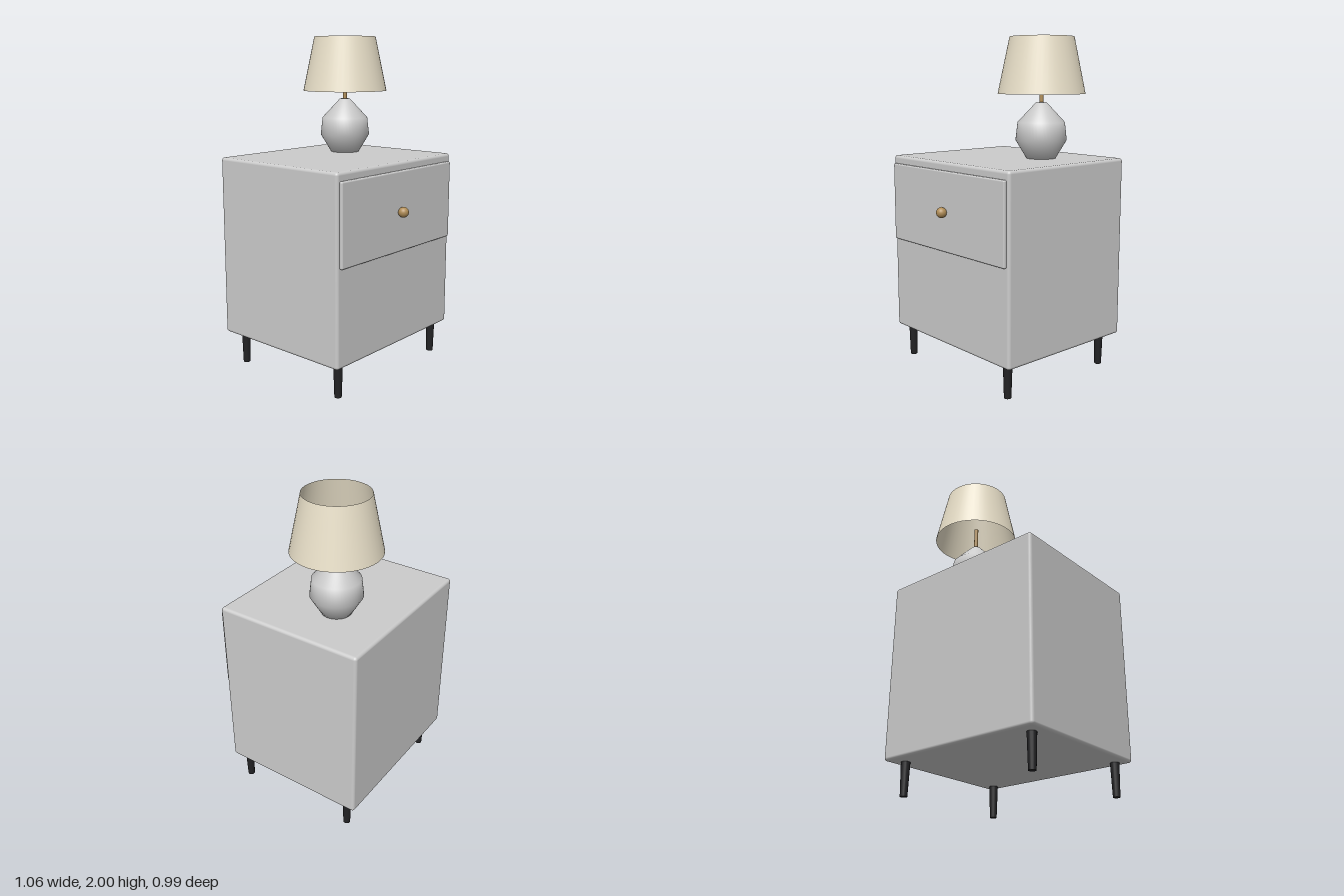
import * as THREE from 'three';
import { RoundedBoxGeometry } from 'three/addons/geometries/RoundedBoxGeometry.js';

export function createModel() {
  const model = new THREE.Group();
  model.name = 'nightstandWithLamp';

  const grey = new THREE.MeshStandardMaterial({ color: 0xcccccc });
  const black = new THREE.MeshStandardMaterial({ color: 0x222224 });
  const brass = new THREE.MeshStandardMaterial({ color: 0xb08d57 });
  const linen = new THREE.MeshStandardMaterial({ color: 0xe8dfc8, side: THREE.DoubleSide });

  const add = (parent, name, geometry, material, x, y, z) => {
    const mesh = new THREE.Mesh(geometry, material);
    mesh.name = name;
    mesh.position.set(x, y, z);
    parent.add(mesh);
    return mesh;
  };

  // Cabinet with softened edges
  add(model, 'cabinet', new RoundedBoxGeometry(1.062, 1.093, 0.923, 4, 0.018), grey, 0, 0.742, -0.0355);

  // Drawer front and its knob
  add(model, 'drawerFront', new RoundedBoxGeometry(1.022, 0.474, 0.036, 3, 0.009), grey, 0, 1.003, 0.426);
  add(model, 'drawerKnob', new THREE.SphereGeometry(0.031, 24, 16), brass, 0, 1.003, 0.465);

  // Four tapered legs
  const legGeometry = new THREE.CylinderGeometry(0.027, 0.021, 0.2, 16);
  for (const x of [-0.452, 0.452]) {
    for (const z of [0.362, -0.4]) add(model, 'leg', legGeometry, black, x, 0.1, z);
  }

  // Table lamp standing on the cabinet
  const lamp = new THREE.Group();
  lamp.name = 'lamp';
  lamp.position.set(0.19, 0, -0.143);
  model.add(lamp);

  const baseProfile = [
    [0, 1.288], [0.088, 1.288], [0.153, 1.397], [0.141, 1.503], [0.031, 1.62], [0, 1.62],
  ].map(([r, y]) => new THREE.Vector2(r, y));
  add(lamp, 'lampBase', new THREE.LatheGeometry(baseProfile, 48), grey, 0, 0, 0);
  add(lamp, 'lampStem', new THREE.CylinderGeometry(0.0125, 0.0125, 0.165, 16), brass, 0, 1.6825, 0);

  // Open tapered shade
  add(lamp, 'lampShade', new THREE.CylinderGeometry(0.19, 0.26, 0.33, 48, 1, true), linen, 0, 1.835, 0);

  return model;
}
